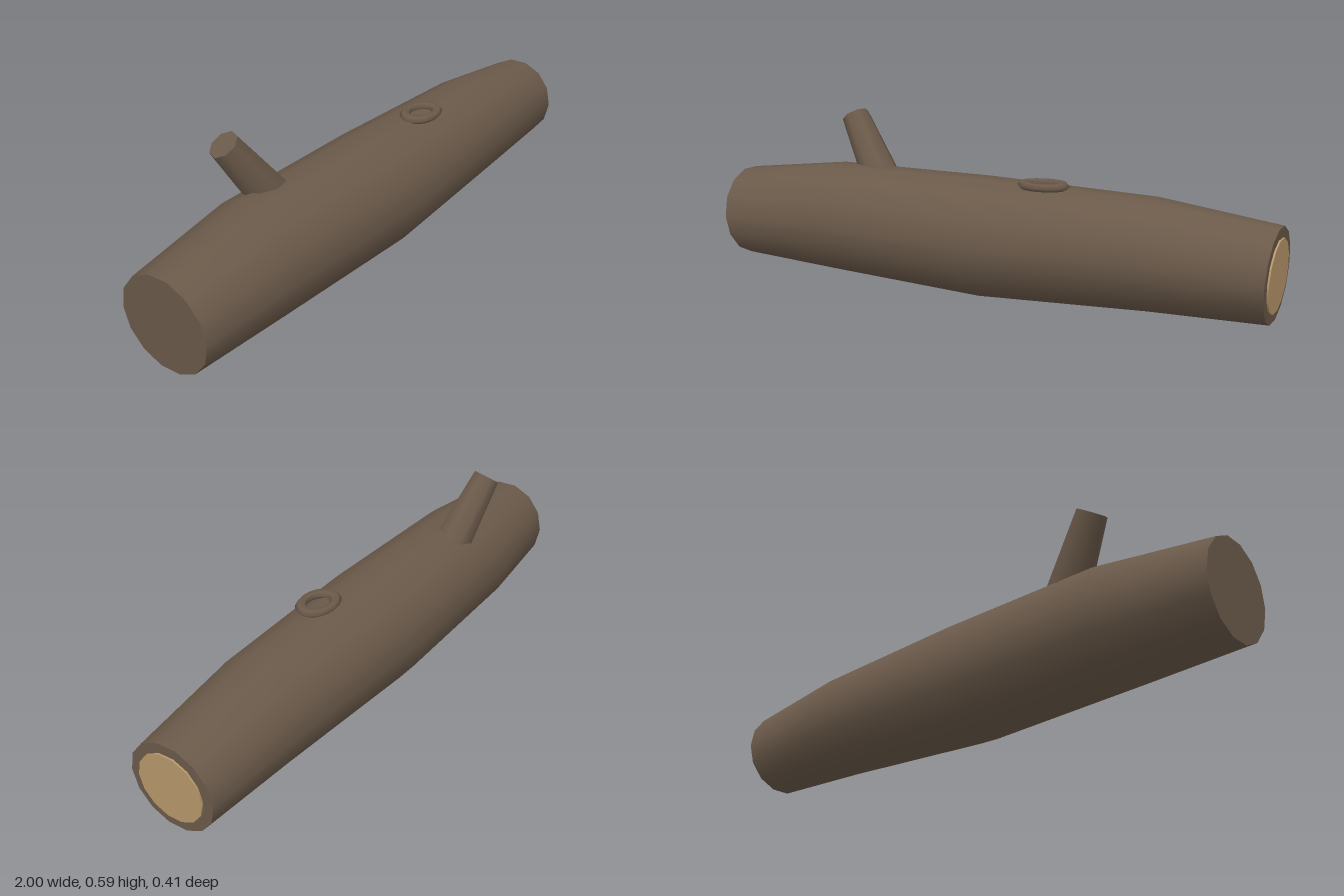
import * as THREE from 'three';

const SIDES = 14;

// Log sections: x, centre y, centre z, radius, lean of the section plane
const SECTIONS = [
  [-0.992, 0.197, -0.002, 0.162, -0.05],
  [-0.6, 0.21, -0.012, 0.195, 0],
  [0, 0.2, -0.003, 0.205, 0],
  [0.6, 0.207, 0, 0.181, 0],
  [0.99, 0.186, -0.002, 0.151, 0.05],
];

function ring([x, cy, cz, r, lean]) {
  const points = [];
  for (let j = 0; j < SIDES; j++) {
    const a = (j / SIDES) * Math.PI * 2;
    const dy = r * Math.sin(a);
    points.push(x + lean * dy, cy + dy, cz + r * Math.cos(a));
  }
  return points;
}

function buildGeometry(positions, indices) {
  const geo = new THREE.BufferGeometry();
  geo.setAttribute('position', new THREE.Float32BufferAttribute(positions, 3));
  geo.setIndex(indices);
  geo.computeVertexNormals();
  return geo;
}

// Smooth skin through all sections
function trunkGeometry() {
  const indices = [];
  for (let i = 0; i < SECTIONS.length - 1; i++) {
    for (let j = 0; j < SIDES; j++) {
      const k = (j + 1) % SIDES;
      const a = i * SIDES + j, b = a + SIDES;
      const c = (i + 1) * SIDES + k, d = i * SIDES + k;
      indices.push(a, b, c, a, c, d);
    }
  }
  return buildGeometry(SECTIONS.flatMap(ring), indices);
}

// Flat end face; dir is +1 for the +x end and -1 for the -x end
function capGeometry(section, dir) {
  const indices = [];
  for (let j = 0; j < SIDES; j++) {
    const k = (j + 1) % SIDES;
    indices.push(SIDES, dir > 0 ? k : j, dir > 0 ? j : k);
  }
  return buildGeometry([...ring(section), ...section.slice(0, 3)], indices);
}

export function createModel() {
  const group = new THREE.Group();
  const bark = new THREE.MeshStandardMaterial({ name: 'bark', color: 0x6b5a4a });
  const wood = new THREE.MeshStandardMaterial({ name: 'cutWood', color: 0xb8996c });

  const add = (name, geo, mat) => {
    const mesh = new THREE.Mesh(geo, mat);
    mesh.name = name;
    group.add(mesh);
    return mesh;
  };

  // Log body and its two ends
  add('trunk', trunkGeometry(), bark);
  add('barkEnd', capGeometry(SECTIONS[0], -1), bark);
  add('cutEndRim', capGeometry(SECTIONS[SECTIONS.length - 1], 1), bark);

  // Pale cut face
  const cut = add('cutFace', new THREE.CylinderGeometry(0.117, 0.117, 0.009, SIDES), wood);
  cut.position.set(0.991, 0.185, 0);
  cut.rotation.z = -Math.PI / 2 - 0.05;

  // Broken branch stub leaning out of the trunk
  const base = new THREE.Vector3(-0.42, 0.3, -0.054);
  const tip = new THREE.Vector3(-0.595, 0.564, -0.115);
  const axis = tip.clone().sub(base);
  const stub = add('branchStub', new THREE.CylinderGeometry(0.05, 0.074, axis.length(), 8), bark);
  stub.position.copy(base).add(tip).multiplyScalar(0.5);
  stub.quaternion.setFromUnitVectors(new THREE.Vector3(0, 1, 0), axis.normalize());

  // Flattened knot ring on top
  const knotGeo = new THREE.TorusGeometry(0.066, 0.023, 6, 20);
  knotGeo.rotateX(-Math.PI / 2);
  knotGeo.scale(1, 0.6, 0.74);
  const knot = add('knot', knotGeo, bark);
  knot.position.set(0.235, 0.4, 0.033);

  return group;
}
